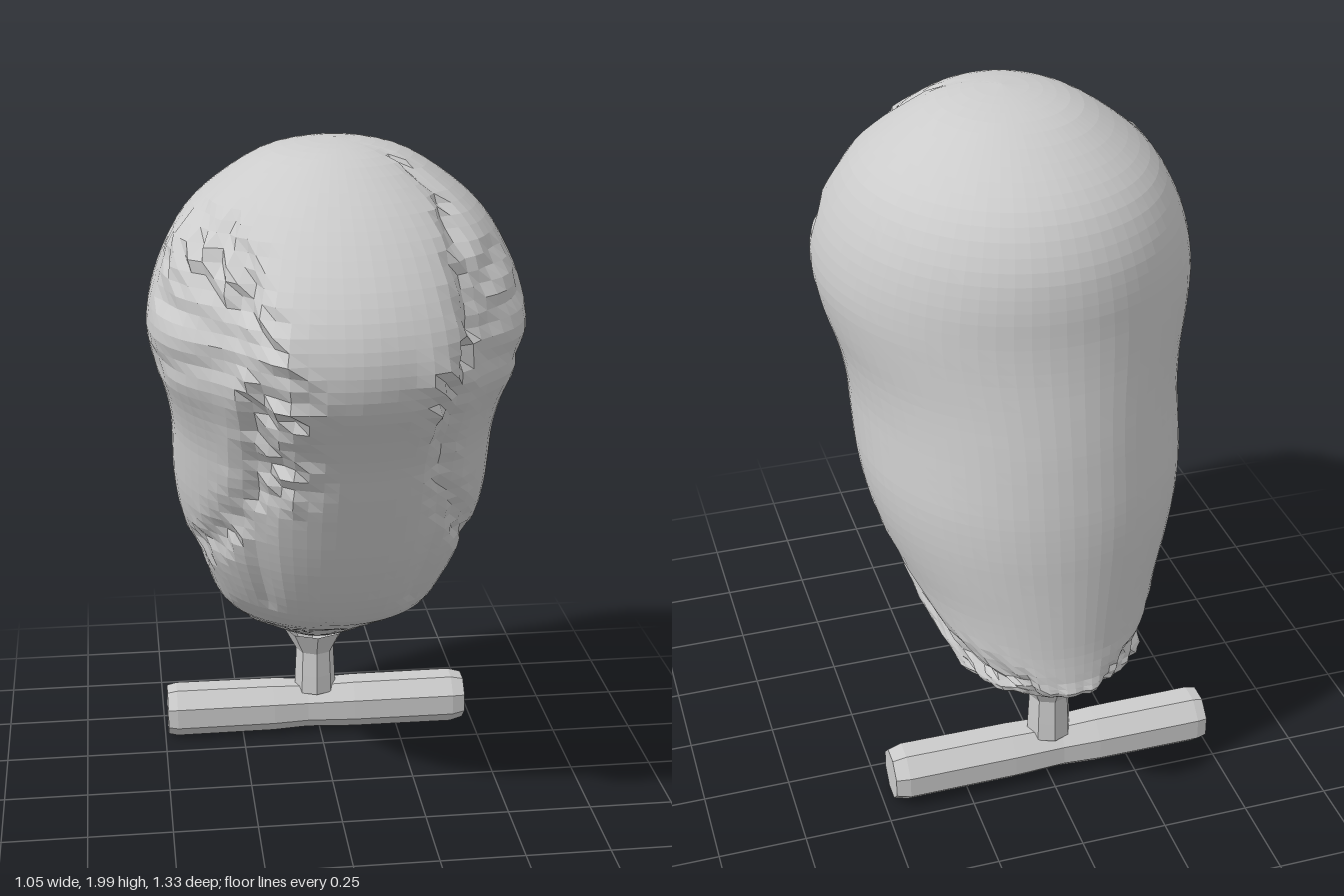
import * as THREE from 'three';

const material = new THREE.MeshStandardMaterial({ color: 0xcccccc, flatShading: true, side: THREE.DoubleSide });

// Body sections: height, front z, back z, half width
const SECTIONS = [
  [2.0, 0.04, 0.04, 0], [1.988, 0.16, -0.08, 0.11], [1.955, 0.265, -0.21, 0.215], [1.88, 0.39, -0.345, 0.33],
  [1.8, 0.49, -0.44, 0.415], [1.7, 0.585, -0.5, 0.475], [1.6, 0.645, -0.525, 0.512], [1.5, 0.665, -0.535, 0.526],
  [1.4, 0.645, -0.55, 0.51], [1.3, 0.58, -0.57, 0.48], [1.2, 0.52, -0.59, 0.463], [1.1, 0.475, -0.606, 0.46],
  [1.0, 0.428, -0.62, 0.457], [0.9, 0.38, -0.628, 0.442], [0.8, 0.325, -0.632, 0.413], [0.69, 0.25, -0.637, 0.37],
  [0.59, 0.145, -0.642, 0.335], [0.51, -0.01, -0.652, 0.29], [0.465, -0.1, -0.655, 0.255],
  [0.4, -0.22, -0.55, 0.165], [0.35, -0.32, -0.46, 0.085],
];

// Creases as [angle from the front, height] paths
const line = (pts, depth, width) => ({
  pts: new THREE.CatmullRomCurve3(pts.map(([a, y]) => new THREE.Vector3(a, y, 0))).getPoints(40), depth, width,
});
const mirror = (pts) => pts.map(([a, y]) => [-a, y]);
const pair = (pts, depth, width) => [line(pts, depth, width), line(mirror(pts), depth, width)];

const SEAM = [[0.56, 1.42], [0.6, 1.2], [0.68, 1.05], [0.96, 0.89], [1.5, 0.74], [1.88, 0.57], [2.67, 0.48]];
const CHEEK = [[0.56, 1.4], [0.57, 1.1], [0.6, 0.7]];
const BROW_L = [[0.9, 1.93], [0.69, 1.7], [0.66, 1.6], [0.45, 1.4]];
const BROW_R = [[-1.25, 1.75], [-0.75, 1.74], [-0.5, 1.55], [-0.4, 1.42], [-0.4, 1.15]];
const CREASES = [
  ...pair(SEAM, -0.022, 0.045), ...pair(CHEEK, -0.014, 0.04),
  line(BROW_L, -0.022, 0.04), line(BROW_R, -0.02, 0.04),
  line([[-0.9, 0.6], [0, 0.57], [0.9, 0.52]], -0.012, 0.035),
  // Folds fanning back over the temples
  ...pair([[0.7, 1.62], [1.1, 1.73]], -0.016, 0.028),
  ...pair([[0.7, 1.57], [1.3, 1.61]], -0.016, 0.028),
  ...pair([[0.65, 1.5], [1.4, 1.42]], -0.014, 0.035),
];
const CRUMPLES = [line(BROW_L, 0.04, 0.06), line(BROW_R, 0.05, 0.075), ...pair(SEAM, 0.018, 0.07)];

// Broad swells and hollows: angle, height, offset, angular size, vertical size
const SWELLS = [
  [0.8, 1.52, -0.04, 0.22, 0.26], [-0.8, 1.5, -0.04, 0.22, 0.2],
  [0.44, 1.46, 0.022, 0.13, 0.12], [-0.4, 1.5, 0.032, 0.14, 0.13],
  [-1.15, 1.75, 0.045, 0.25, 0.05],
];

const falloff = (c, a, y) => {
  let d = Infinity;
  for (const p of c.pts) d = Math.min(d, Math.hypot((p.x - a) * 0.48, p.y - y));
  return Math.exp(-((d / c.width) ** 2));
};
const hash = (i, j) => {
  const s = Math.sin(i * 127.1 + j * 311.7) * 43758.5453;
  return s - Math.floor(s) - 0.5;
};

// Outward offset: swells, sunken creases, crumpled edges, uneven base rim
function relief(a, y, i, j) {
  let d = 0;
  for (const [sa, sy, h, wa, wy] of SWELLS) d += h * Math.exp(-(((a - sa) / wa) ** 2) - ((y - sy) / wy) ** 2);
  for (const c of CREASES) d += c.depth * falloff(c, a, y);
  for (const c of CRUMPLES) d += c.depth * hash(i, j) * falloff(c, a, y);
  return d + 0.02 * hash(j, 3) * Math.exp(-(((y - 0.47) / 0.03) ** 2));
}

function bodyGeometry(rows = 60, cols = 72) {
  const spline = (f) => new THREE.CatmullRomCurve3(SECTIONS.map(f), false, 'catmullrom', 0.5);
  const outline = spline((s) => new THREE.Vector3(s[1], s[2], s[3]));
  const height = spline((s) => new THREE.Vector3(s[0], 0, 0));
  const pos = [], index = [];
  for (let i = 0; i <= rows; i++) {
    const t = i / rows;
    const { x: front, y: back, z: w } = outline.getPoint(t);
    const y = height.getPoint(t).x;
    const mid = (front + back) / 2, half = (front - back) / 2;
    for (let j = 0; j < cols; j++) {
      const a = ((j / cols) * 2 - 1) * Math.PI;
      const d = i === 0 ? 0 : relief(a, y, i, j);
      pos.push(Math.sin(a) * (w + d), y, mid + Math.cos(a) * (half + d));
      if (i === rows) continue;
      const k = (j + 1) % cols, r = i * cols, n = r + cols;
      if (i > 0) index.push(r + j, n + k, r + k);
      index.push(r + j, n + j, n + k);
    }
  }
  const g = new THREE.BufferGeometry();
  g.setAttribute('position', new THREE.Float32BufferAttribute(pos, 3));
  g.setIndex(index);
  g.computeVertexNormals();
  return g;
}

export function createModel() {
  const group = new THREE.Group();
  const add = (name, geometry, x = 0, y = 0, z = 0) => {
    const mesh = new THREE.Mesh(geometry, material);
    mesh.name = name;
    mesh.position.set(x, y, z);
    group.add(mesh);
    return mesh;
  };
  const lathe = (pts, sides) => new THREE.LatheGeometry(pts.map(([r, y]) => new THREE.Vector2(r, y)), sides);

  add('body', bodyGeometry());

  // Flared neck below the body
  add('neck', lathe([[0.066, 0.14], [0.064, 0.2], [0.06, 0.28], [0.1, 0.355]], 8), -0.012, 0, -0.39);

  // Crossbar foot with softened ends and a slight swell at the neck
  const bar = add('crossbar', lathe([[0, -0.48], [0.074, -0.48], [0.085, -0.44], [0.084, -0.12], [0.078, 0.03],
    [0.084, 0.14], [0.085, 0.45], [0.078, 0.48], [0, 0.48]], 8), -0.01, 0.084, -0.39);
  bar.rotation.set(Math.PI / 8, 0, Math.PI / 2);

  return group;
}
